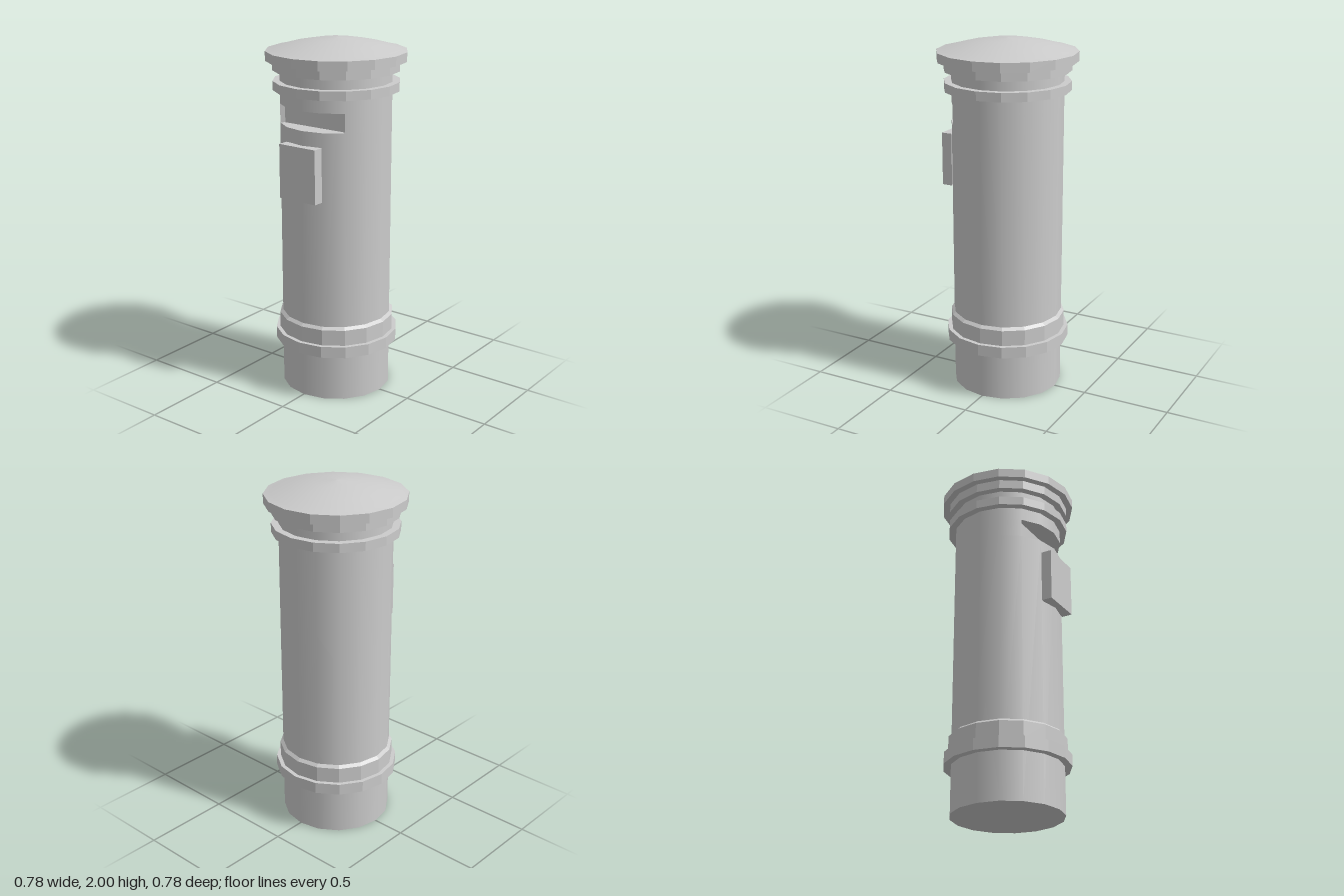
import * as THREE from 'three';

const SIDES = 16;
const R = 0.31;

export function createModel() {
  const model = new THREE.Group();
  const smooth = new THREE.MeshStandardMaterial({ color: 0xcccccc });
  const flat = new THREE.MeshStandardMaterial({ color: 0xcccccc, flatShading: true });
  const thin = new THREE.MeshStandardMaterial({ color: 0xcccccc, flatShading: true, side: THREE.DoubleSide });

  const add = (name, geometry, material, y = 0, z = 0) => {
    const mesh = new THREE.Mesh(geometry, material);
    mesh.name = name;
    mesh.position.set(0, y, z);
    model.add(mesh);
  };
  // Sixteen-sided drum between two heights
  const drum = (name, y0, y1, rTop, rBottom, material) =>
    add(name, new THREE.CylinderGeometry(rTop, rBottom, y1 - y0, SIDES), material, (y0 + y1) / 2);

  // Pillar, interrupted by the slot
  const slotLow = 1.54, slotHigh = 1.645, slotH = slotHigh - slotLow;
  const slotY = (slotLow + slotHigh) / 2;
  drum('lowerBody', 0, slotLow, R, R, smooth);
  drum('upperBody', slotHigh, 1.9, R, R, smooth);
  add('slotBody', new THREE.CylinderGeometry(R, R, slotH, 12, 1, true, Math.PI / 4, Math.PI * 1.5), smooth, slotY);

  // Slot recess: back panel and two slanted ends
  const corner = R * Math.SQRT1_2, inner = 0.2;
  add('slotBack', new THREE.PlaneGeometry(inner * 2, slotH), thin, slotY, inner);
  for (const side of [-1, 1]) {
    const end = new THREE.PlaneGeometry((corner - inner) * Math.SQRT2, slotH);
    end.rotateY(-side * Math.PI / 4);
    end.translate(side * (corner + inner) / 2, 0, (corner + inner) / 2);
    add(side > 0 ? 'slotEndLeft' : 'slotEndRight', end, thin, slotY);
  }

  // Raised bands
  drum('baseBand', 0.27, 0.335, 0.35, 0.35, flat);
  drum('plinthBand', 0.335, 0.425, 0.327, 0.327, flat);
  drum('plinthBevel', 0.425, 0.44, R, 0.327, flat);
  drum('neckBand', 1.72, 1.77, 0.35, 0.35, flat);
  drum('capBand', 1.828, 1.885, 0.35, 0.35, flat);

  // Cap with a shallow dome
  drum('capRim', 1.88, 1.932, 0.388, 0.388, flat);
  const dome = [[0.388, 1.932], [0.35, 1.94], [0.25, 1.967], [0.12, 1.991], [0, 2]];
  add('dome', new THREE.LatheGeometry(dome.map(([x, y]) => new THREE.Vector2(x, y)), SIDES), smooth);

  // Notice plate
  add('noticePlate', new THREE.BoxGeometry(0.24, 0.3, 0.06), flat, 1.31, 0.32);

  return model;
}
